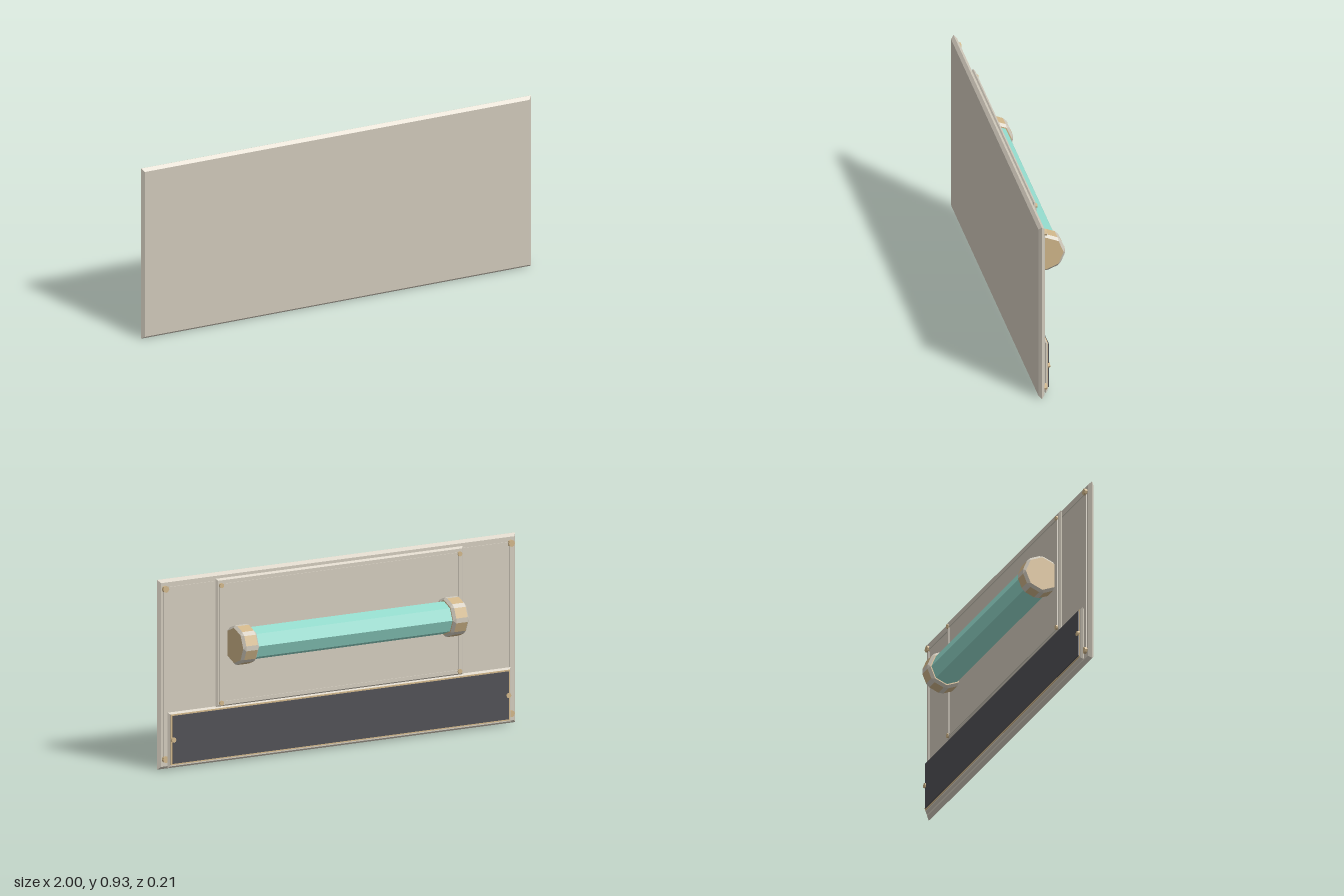
import * as THREE from 'three';

const mat = (name, color) => Object.assign(new THREE.MeshStandardMaterial({ color }), { name });

export function createModel() {
  const stone = mat('warm grey', 0xd0c9bb);
  const brass = mat('tan brass', 0xcfb589);
  const teal = mat('teal', 0x92d8ca);
  const dark = mat('charcoal', 0x505054);

  const model = new THREE.Group();
  model.name = 'wallPanel';

  const add = (name, geometry, material, x = 0, y = 0, z = 0) => {
    const mesh = new THREE.Mesh(geometry, material);
    mesh.name = name;
    mesh.position.set(x, y, z);
    model.add(mesh);
    return mesh;
  };

  // Slab whose edges are chamfered to a ridge half way through its thickness
  const slab = (name, halfW, y0, y1, z0, z1) => {
    const shape = new THREE.Shape([
      new THREE.Vector2(-halfW, y0), new THREE.Vector2(halfW, y0),
      new THREE.Vector2(halfW, y1), new THREE.Vector2(-halfW, y1)]);
    const depth = 0.001, b = (z1 - z0 - depth) / 2;
    const geo = new THREE.ExtrudeGeometry(shape, {
      depth, bevelThickness: b, bevelSize: b, bevelOffset: -b, bevelSegments: 1 });
    return add(name, geo, stone, 0, 0, z0 + b);
  };
  const box = (name, w, h, d, material, x, y, z) =>
    add(name, new THREE.BoxGeometry(w, h, d), material, x, y, z);

  // Layered plates
  slab('frontPlate', 1, 0, 0.93, 0.075, 0.105);
  slab('centrePanel', 0.69, 0.275, 0.905, 0.052, 0.071);
  slab('lowerPanel', 0.957, 0.008, 0.28, 0.052, 0.071);
  box('panelCore', 1.3, 0.85, 0.012, stone, 0, 0.455, 0.07);

  // Dark inset with a thin brass border
  box('insetTrim', 1.892, 0.248, 0.004, brass, 0, 0.147, 0.0505);
  box('darkInset', 1.876, 0.234, 0.008, dark, 0, 0.147, 0.047);

  // Octagonal stud along z
  const stud = (name, r, x, y, z0, z1) => {
    const geo = new THREE.CylinderGeometry(r, r, z1 - z0, 8).toNonIndexed();
    geo.rotateX(Math.PI / 2);
    geo.computeVertexNormals();
    add(name, geo, brass, x, y, (z0 + z1) / 2);
  };

  // Rectangle of thin strips with a stud at each corner
  const studFrame = (name, x, y0, y1, r, studZ0, studZ1, stripZ) => {
    for (const s of [-1, 1]) {
      box(name + 'SideStrip', 0.016, y1 - y0, 0.006, stone, s * x, (y0 + y1) / 2, stripZ);
      for (const y of [y0, y1]) stud(name + 'Stud', r, s * x, y, studZ0, studZ1);
    }
    for (const y of [y0, y1]) box(name + 'CrossStrip', 2 * x, 0.014, 0.006, stone, 0, y, stripZ);
  };
  studFrame('outer', 0.965, 0.05, 0.885, 0.017, 0.061, 0.076, 0.073);
  studFrame('inner', 0.665, 0.296, 0.872, 0.012, 0.042, 0.053, 0.05);
  for (const s of [-1, 1]) stud('insetStud', 0.013, s * 0.935, 0.147, 0.038, 0.05);

  // Faceted tube running across the back
  const cy = 0.585, cz = -0.01;
  const tube = new THREE.CylinderGeometry(0.08, 0.08, 1.12, 8, 1, true).toNonIndexed();
  tube.rotateZ(Math.PI / 2);
  tube.computeVertexNormals();
  add('tube', tube, teal, 0, cy, cz);

  // End cap: octagonal prism with every edge chamfered; group 0 faces, group 1 chamfers
  const capGeometry = (half, bevel, rEnd, rSide, cut) => {
    const ends = [], sides = [];
    for (const x of [-1, 1]) {
      const e = [], s = [];
      for (let i = 0; i < 8; i++) {
        const a = i * Math.PI / 4, c = Math.cos(a), n = Math.sin(a);
        e.push(new THREE.Vector3(x * half, c * rEnd, n * rEnd));
        for (const t of [-cut, cut])
          s.push(new THREE.Vector3(x * (half - bevel), c * rSide - n * t, n * rSide + c * t));
      }
      ends.push(e);
      sides.push(s);
    }
    const faces = [], chamfers = [];
    const mid = new THREE.Vector3(), n = new THREE.Vector3(), u = new THREE.Vector3();
    // Adds a triangle turned outward from the cap centre
    const tri = (out, a, b, c) => {
      n.subVectors(b, a).cross(u.subVectors(c, a));
      mid.copy(a).add(b).add(c);
      for (const p of n.dot(mid) > 0 ? [a, b, c] : [a, c, b]) out.push(p);
    };
    const quad = (out, a, b, c, d) => { tri(out, a, b, c); tri(out, a, c, d); };
    for (let i = 0; i < 8; i++) {
      const j = (i + 1) % 8, p = 2 * i, q = 2 * i + 1, r = 2 * j;
      quad(faces, sides[0][q], sides[0][r], sides[1][r], sides[1][q]);
      quad(chamfers, sides[0][p], sides[0][q], sides[1][q], sides[1][p]);
      for (const k of [0, 1]) {
        quad(chamfers, ends[k][i], ends[k][j], sides[k][r], sides[k][q]);
        tri(chamfers, ends[k][i], sides[k][p], sides[k][q]);
        tri(faces, new THREE.Vector3(k ? half : -half, 0, 0), ends[k][i], ends[k][j]);
      }
    }
    const geo = new THREE.BufferGeometry().setFromPoints([...faces, ...chamfers]);
    geo.addGroup(0, faces.length, 0);
    geo.addGroup(faces.length, chamfers.length, 1);
    geo.computeVertexNormals();
    return geo;
  };
  const cap = capGeometry(0.044, 0.012, 0.086, 0.095, 0.012);
  for (const s of [-1, 1]) add(s > 0 ? 'leftCap' : 'rightCap', cap, [brass, stone], s * 0.586, cy, cz);

  return model;
}
